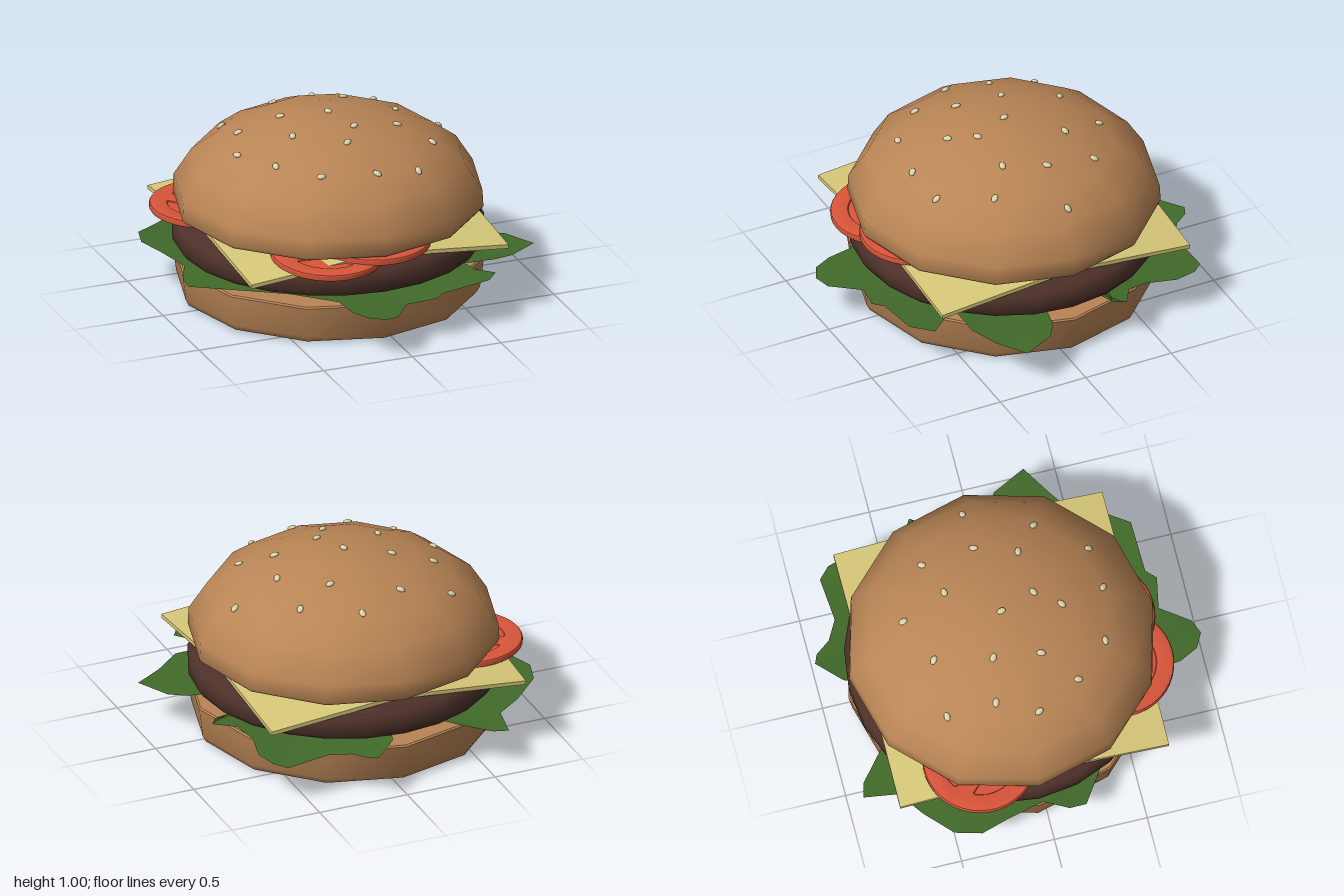
import * as THREE from 'three';
import { toCreasedNormals } from 'three/addons/utils/BufferGeometryUtils.js';

const CX = -0.05, CZ = -0.05; // axis of the stack
const mat = (color, extra = {}) => new THREE.MeshStandardMaterial({ color, ...extra });
const v2 = (list) => list.map(([x, y]) => new THREE.Vector2(x, y));

function add(parent, name, geometry, material) {
  const mesh = new THREE.Mesh(geometry, material);
  mesh.name = name;
  parent.add(mesh);
  return mesh;
}

// Turned part around the stack axis
function turned(parent, name, profile, sides, material) {
  const geo = toCreasedNormals(new THREE.LatheGeometry(v2(profile), sides), 0.8);
  const mesh = add(parent, name, geo, material);
  mesh.position.set(CX, 0, CZ);
  return mesh;
}

const DOME = [[0.82, 0.5], [0.815, 0.59], [0.72, 0.74], [0.585, 0.84], [0.405, 0.92], [0.205, 0.97], [0, 0.988]];

// Height of the twelve-sided crown at a point measured from its axis
function domeHeight(x, z) {
  const step = Math.PI / 6;
  const a = ((Math.atan2(z, x) % step) + step) % step;
  const r = Math.hypot(x, z) * Math.cos(a - step / 2) / Math.cos(step / 2);
  for (let i = DOME.length - 1; i > 0; i--) {
    const [r0, y0] = DOME[i], [r1, y1] = DOME[i - 1];
    if (r <= r1) return y0 + (y1 - y0) * (r - r0) / (r1 - r0);
  }
  return DOME[0][1];
}

// Thin square slice whose corners droop
function cheeseGeometry() {
  const half = 0.724, geo = new THREE.BoxGeometry(half * 2, 0.022, half * 2, 12, 1, 12);
  const p = geo.attributes.position;
  for (let i = 0; i < p.count; i++) {
    const over = Math.max(0, Math.abs(p.getX(i)) + Math.abs(p.getZ(i)) - half);
    p.setY(i, p.getY(i) - over * 0.09);
  }
  return toCreasedNormals(geo, 0.6);
}

// Tomato slice: rounded rim, three seed chambers and a recessed pulp disc
function tomatoSlice(material) {
  const slice = new THREE.Group();
  slice.name = 'tomatoSlice';
  const shape = new THREE.Shape().absarc(0, 0, 0.285, 0, Math.PI * 2);
  for (let k = 0; k < 3; k++) {
    const a0 = k * Math.PI * 2 / 3 + 0.17, a1 = a0 + Math.PI * 2 / 3 - 0.34, mid = (a0 + a1) / 2;
    const hole = new THREE.Path();
    hole.moveTo(0.07 * Math.cos(mid), 0.07 * Math.sin(mid));
    hole.lineTo(0.2 * Math.cos(a0), 0.2 * Math.sin(a0));
    hole.absarc(0, 0, 0.22, a0 + 0.08, a1 - 0.08, false);
    hole.lineTo(0.2 * Math.cos(a1), 0.2 * Math.sin(a1));
    hole.closePath();
    shape.holes.push(hole);
  }
  const geo = new THREE.ExtrudeGeometry(shape, {
    depth: 0.018, bevelEnabled: true, bevelThickness: 0.01, bevelSize: 0.016, bevelSegments: 2, curveSegments: 20,
  });
  geo.translate(0, 0, -0.009).rotateX(-Math.PI / 2);
  add(slice, 'tomatoFlesh', toCreasedNormals(geo, 0.7), material);
  add(slice, 'tomatoPulp', new THREE.CylinderGeometry(0.27, 0.27, 0.02, 24), material);
  return slice;
}

// Ruffled leaf outline (x, z), from the left side round by the front
const LEAF = [
  [0.96, 0.32], [0.8, 0.42], [0.67, 0.5], [0.5, 0.5], [0.52, 0.62], [0.6, 0.68], [0.52, 0.79], [0.25, 0.8],
  [0.2, 0.85], [0.04, 0.82], [-0.07, 0.97], [-0.15, 1], [-0.23, 0.96], [-0.28, 0.86], [-0.3, 0.72], [-0.5, 0.55],
  [-0.65, 0.38], [-0.93, 0.19], [-0.93, 0.1], [-0.87, -0.03], [-0.92, -0.22], [-0.97, -0.38], [-0.93, -0.52],
  [-0.78, -0.65], [-0.64, -0.75], [-0.61, -0.93], [-0.53, -0.91], [-0.4, -0.8], [-0.25, -0.66], [-0.03, -0.7],
  [0.03, -0.88], [0.16, -1], [0.21, -0.98], [0.27, -0.9], [0.38, -0.84], [0.62, -0.86], [0.68, -0.8],
  [0.71, -0.68], [0.67, -0.52], [0.71, -0.4], [0.82, -0.33], [0.78, -0.27], [0.69, -0.29], [0.6, -0.1],
  [0.64, 0.05], [0.78, 0.08], [0.87, 0.14],
];

function lettuceGeometry() {
  const rings = [0.02, 0.4, 0.7, 0.86, 1], n = LEAF.length, pos = [], index = [];
  rings.forEach((f, r) => LEAF.forEach(([x, z], i) => {
    const a = Math.atan2(z, x);
    pos.push(x * f, 0.244 - f * f * (0.022 * Math.sin(5 * a) + 0.006 * Math.sin(17 * a)), z * f);
    if (r === 0) return;
    const j = (i + 1) % n, p = (r - 1) * n, q = r * n;
    index.push(p + i, p + j, q + i, p + j, q + j, q + i);
  }));
  const geo = new THREE.BufferGeometry();
  geo.setAttribute('position', new THREE.Float32BufferAttribute(pos, 3));
  geo.setIndex(index);
  geo.computeVertexNormals();
  return geo;
}

export function createModel() {
  const model = new THREE.Group();
  model.name = 'hamburger';
  const bun = mat(0xb98555), tomato = mat(0xd8553a), seedMat = mat(0xd9d2ac);

  // Bread
  turned(model, 'bottomBun', [[0, 0], [0.75, 0], [0.785, 0.012], [0.802, 0.045], [0.823, 0.21], [0.815, 0.218], [0, 0.218]], 12, bun);
  turned(model, 'topBun', [[0, 0.475], [0.78, 0.475], [0.808, 0.482], ...DOME], 12, bun);

  // Meat
  turned(model, 'patty', [[0, 0.265], [0.76, 0.265], [0.8, 0.28], [0.82, 0.31], [0.822, 0.37], [0.805, 0.405],
    [0.77, 0.42], [0, 0.42]], 24, mat(0x4d3029));

  // Greens and cheese
  add(model, 'lettuce', lettuceGeometry(), mat(0x416a2a, { side: THREE.DoubleSide }));
  add(model, 'cheeseSlice', cheeseGeometry(), mat(0xd6c778)).position.set(CX, 0.456, CZ);

  // Tomato slices: x, y, z, forward tilt, spin
  [[-0.63, 0.455, -0.31, 0, 0.4], [-0.28, 0.443, 0.515, 0.075, 1.1], [-0.01, 0.46, 0.48, 0.02, 0.2]]
    .forEach(([x, y, z, tilt, spin]) => {
      const slice = tomatoSlice(tomato);
      slice.position.set(x, y, z);
      slice.rotation.set(tilt, spin, 0);
      model.add(slice);
    });

  // Sesame seeds lying on the crown
  const seeds = new THREE.Group();
  seeds.name = 'sesameSeeds';
  model.add(seeds);
  const seedGeo = new THREE.SphereGeometry(1, 10, 8).scale(0.025, 0.012, 0.017);
  const up = new THREE.Vector3(0, 1, 0);
  [[-0.49, -0.45], [-0.2, -0.45], [0.06, -0.55], [0.34, -0.38], [0.14, -0.31], [-0.28, -0.15], [-0.05, -0.05],
    [0.35, -0.1], [0.59, -0.1], [-0.5, -0.19], [-0.59, 0.02], [-0.31, 0.1], [0.02, 0.14], [0.27, 0.12],
    [0.42, 0.24], [-0.47, 0.26], [-0.07, 0.27], [-0.29, 0.45], [0, 0.51], [0.24, 0.49]].forEach(([x, z], i) => {
    const dx = x - CX, dz = z - CZ, e = 0.02;
    const normal = new THREE.Vector3(
      domeHeight(dx - e, dz) - domeHeight(dx + e, dz), 2 * e,
      domeHeight(dx, dz - e) - domeHeight(dx, dz + e)).normalize();
    const seed = add(seeds, 'sesameSeed', seedGeo, seedMat);
    seed.position.set(x, domeHeight(dx, dz), z).addScaledVector(normal, 0.004);
    seed.quaternion.setFromUnitVectors(up, normal);
    seed.rotateY(i * 2.4);
  });
  return model;
}
